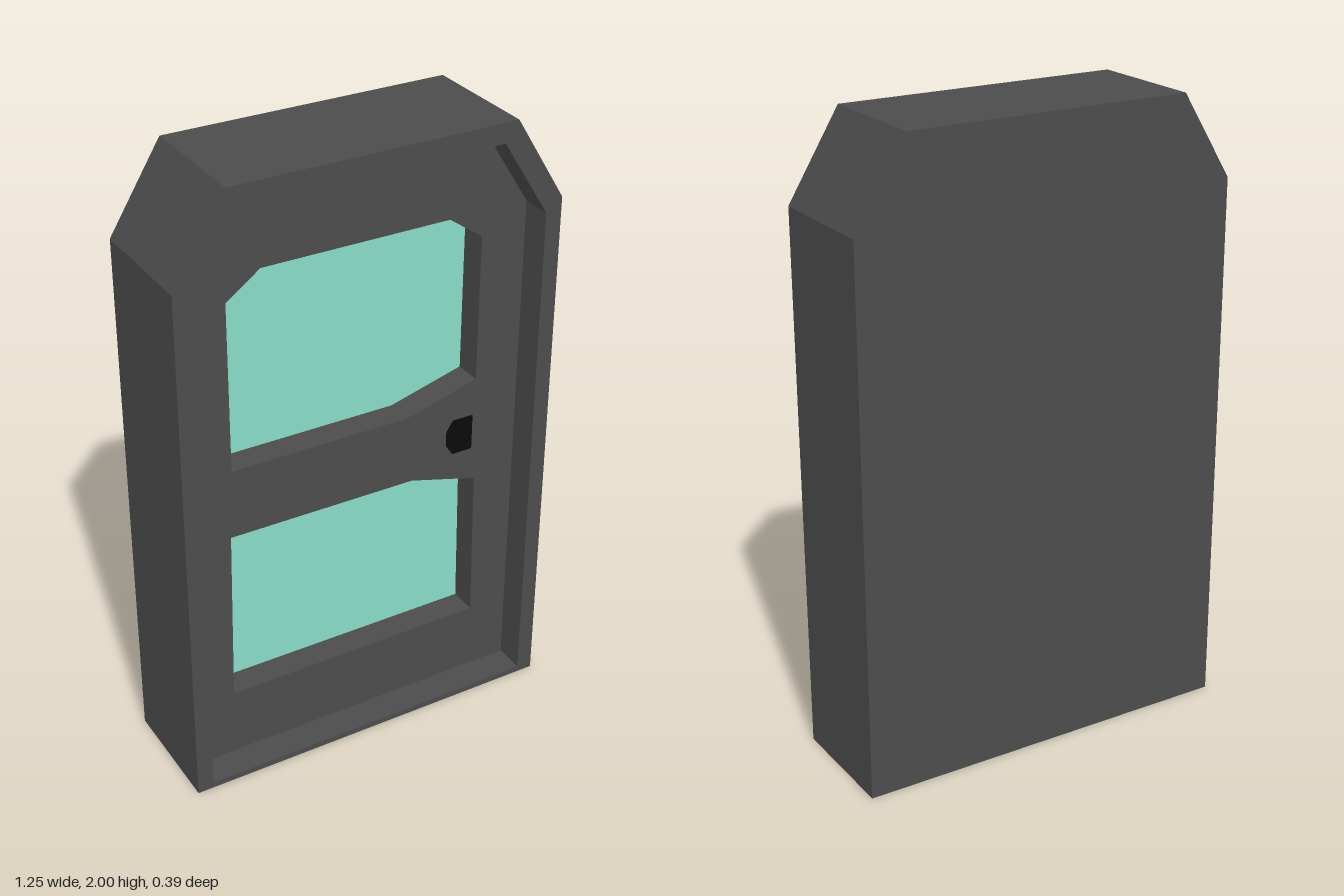
import * as THREE from 'three';

// depths
const BACK = -0.2, FRONT = 0.195, PANEL = 0.095, GLASS = 0.005;

// outlines, counter-clockwise seen from the front
const outer = [[-0.623, 0], [0.623, 0], [0.623, 1.73], [0.457, 2], [-0.457, 2], [-0.623, 1.73]];
const inner = [[-0.57, 0.02], [0.57, 0.02], [0.57, 1.69], [0.415, 1.937], [-0.415, 1.937], [-0.57, 1.69]];
const upperWindow = [[-0.42, 1.063], [0.173, 1.063], [0.418, 1.13], [0.418, 1.61],
  [0.305, 1.69], [-0.31, 1.69], [-0.42, 1.61]];
const lowerWindow = [[-0.44, 0.25], [0.436, 0.25], [0.427, 0.767], [0.195, 0.832], [-0.43, 0.835]];
const handle = [[0.34, 0.885], [0.41, 0.885], [0.41, 1.005], [0.34, 1.005], [0.317, 0.97], [0.317, 0.92]];

const toVectors = (pts) => pts.map(([x, y]) => new THREE.Vector2(x, y));

// flat face in the xy plane, with optional holes
function face(pts, z, holes = []) {
  const shape = new THREE.Shape(toVectors(pts));
  holes.forEach((h) => shape.holes.push(new THREE.Path(toVectors(h))));
  return new THREE.ShapeGeometry(shape).translate(0, 0, z);
}

// flat-shaded band of walls along an outline, facing outward or inward
function walls(pts, z0, z1, inward = false) {
  const loop = inward ? [...pts].reverse() : pts;
  const pos = [];
  loop.forEach(([ax, ay], i) => {
    const [bx, by] = loop[(i + 1) % loop.length];
    pos.push(ax, ay, z0, bx, by, z0, bx, by, z1, ax, ay, z0, bx, by, z1, ax, ay, z1);
  });
  const g = new THREE.BufferGeometry();
  g.setAttribute('position', new THREE.Float32BufferAttribute(pos, 3));
  g.computeVertexNormals();
  return g;
}

export function createModel() {
  const model = new THREE.Group();
  model.name = 'door';
  const dark = new THREE.MeshStandardMaterial({ color: 0x4c4c4c });
  const teal = new THREE.MeshStandardMaterial({ color: 0x88dcc8 });
  const black = new THREE.MeshStandardMaterial({ color: 0x0a0a0a });

  const add = (parent, name, geometry, material) => {
    const mesh = new THREE.Mesh(geometry, material);
    mesh.name = name;
    parent.add(mesh);
  };

  // surrounding frame with its deep reveal
  const frame = new THREE.Group();
  frame.name = 'frame';
  add(frame, 'frameSides', walls(outer, FRONT, BACK).scale(1, 1, 1), dark);
  add(frame, 'frameFront', face(outer, FRONT, [inner]), dark);
  add(frame, 'frameReveal', walls(inner, PANEL, FRONT, true), dark);
  add(frame, 'frameBack', face(outer.map(([x, y]) => [-x, y]), 0).rotateY(Math.PI).translate(0, 0, BACK), dark);
  frame.children[0].geometry = walls(outer, BACK, FRONT);
  model.add(frame);

  // door leaf, recessed in the frame
  const leaf = new THREE.Group();
  leaf.name = 'doorLeaf';
  add(leaf, 'doorPanel', face(inner, PANEL, [upperWindow, lowerWindow]), dark);
  [['upper', upperWindow], ['lower', lowerWindow]].forEach(([name, pts]) => {
    add(leaf, `${name}WindowReveal`, walls(pts, GLASS, PANEL, true), dark);
    add(leaf, `${name}WindowGlass`, face(pts, GLASS), teal);
  });
  // handle plate
  add(leaf, 'handlePlate', face(handle, PANEL + 0.003), black);
  add(leaf, 'handlePlateEdge', walls(handle, PANEL, PANEL + 0.003), black);
  model.add(leaf);

  return model;
}
